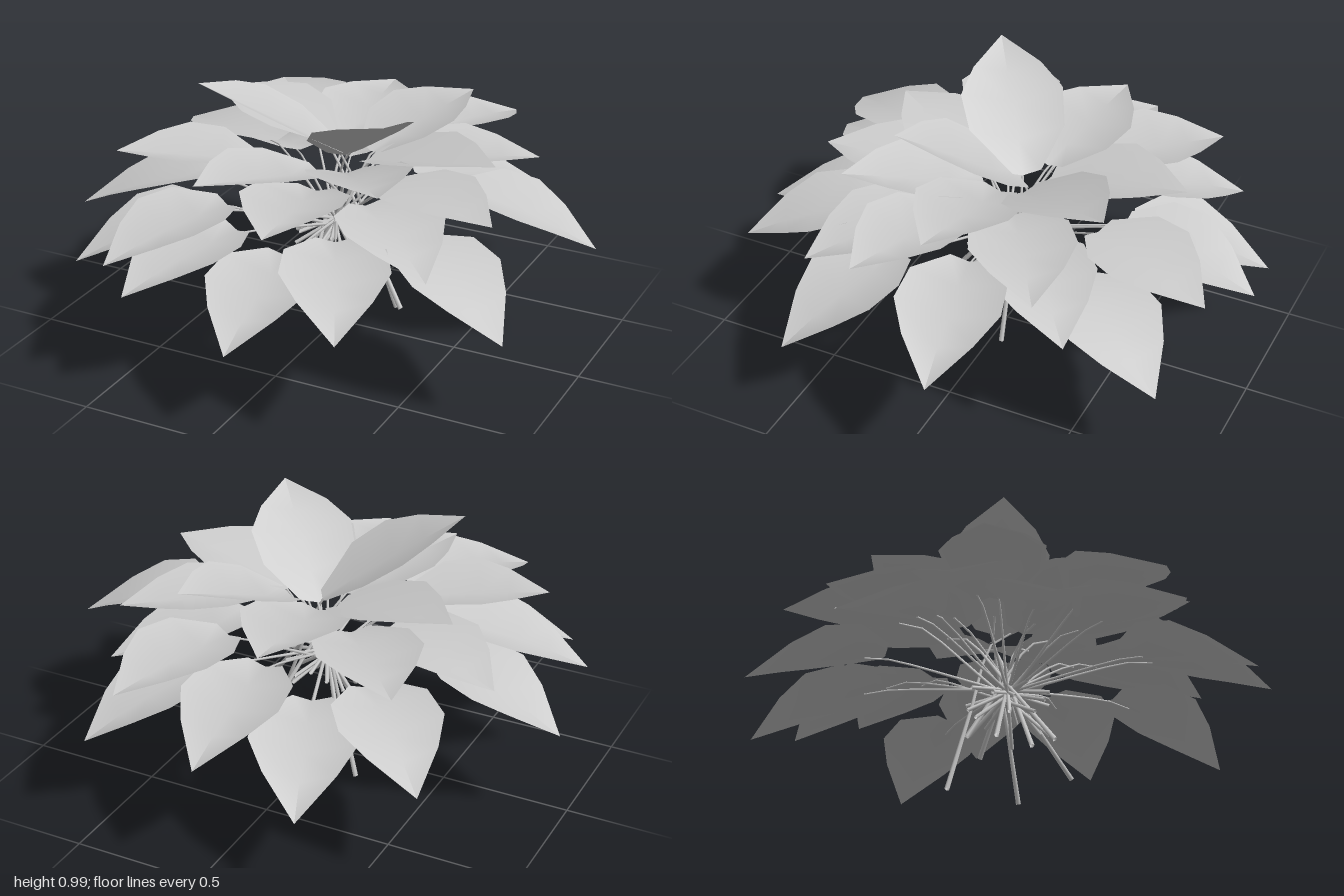
import * as THREE from 'three';

// Upper leaves as [tip x, tip y, tip z, base x, base y, base z]
const TOP = [
  [-0.45, 0.99, 0.24, -0.01, 0.69, -0.06],
  [0.33, 0.97, 0.29, 0.0, 0.67, -0.07],
  [0.33, 0.84, -0.53, 0.09, 0.69, -0.11],
  [0.65, 0.78, 0.02, 0.12, 0.69, -0.03],
  [0.4, 0.79, 0.48, 0.07, 0.66, 0.06],
  [-0.28, 0.74, 0.58, -0.03, 0.65, 0.08],
  [-0.61, 0.8, -0.23, -0.1, 0.7, -0.12],
  [-0.08, 0.76, -0.69, -0.05, 0.69, -0.16],
];
// Lower ends of the upper stems
const FEET = [
  [0.22, 0.07, -0.08], [-0.195, 0.003, -0.145], [-0.05, 0.17, 0.13], [-0.12, 0.21, 0.02],
  [-0.1, 0.24, -0.12], [0.13, 0.25, -0.2], [0.32, 0.17, 0.1], [-0.02, 0.19, 0.21],
];
// Outer leaves point away from the centre: [tip x, tip y, tip z, base height]
const OUTER = [
  [-0.35, 0.31, -0.94, 0.49], [0.01, 0.45, -1.0, 0.6], [0.36, 0.62, -0.93, 0.67],
  [0.56, 0.33, -0.84, 0.5], [0.64, 0.5, -0.52, 0.6], [0.66, 0.66, -0.41, 0.68],
  [0.985, 0.45, -0.16, 0.62], [0.74, 0.66, 0.26, 0.65], [0.88, 0.33, 0.48, 0.52],
  [0.61, 0.53, 0.53, 0.61], [0.44, 0.42, 0.89, 0.56], [0.07, 0.34, 0.99, 0.49],
  [0.08, 0.67, 0.73, 0.64], [-0.38, 0.43, 0.92, 0.53], [-0.47, 0.52, 0.89, 0.62],
  [-0.77, 0.36, 0.63, 0.53], [-0.94, 0.44, 0.31, 0.59], [-0.76, 0.7, 0.34, 0.67],
  [-0.99, 0.38, -0.11, 0.55], [-0.8, 0.61, -0.29, 0.66], [-0.7, 0.38, -0.71, 0.53],
  [-0.57, 0.7, -0.65, 0.69],
];

// Half width of the blade along its length
const PROFILE = [[0, 0.07], [0.24, 0.18], [0.5, 0.195], [0.72, 0.13], [1, 0]];
const FOLD = 0.28;

const material = new THREE.MeshStandardMaterial({ color: 0xcccccc, side: THREE.DoubleSide });

// Midrib: a shallow arch from base to tip, strongest on drooping leaves
function ribPoint(base, tip, t) {
  const arch = 0.005 + Math.max(0, base.y - tip.y) * 0.12;
  const p = base.clone().lerp(tip, t);
  p.y += arch * 4 * t * (1 - t);
  return p;
}

// Blade: rows of three points across, folded up either side of the midrib
function makeLeaf(base, tip) {
  const across = new THREE.Vector3(tip.z - base.z, 0, base.x - tip.x).normalize();
  const pos = [], index = [];
  PROFILE.forEach(([t, half], row) => {
    const rib = ribPoint(base, tip, t);
    for (const side of [-1, 0, 1]) {
      const p = rib.clone().addScaledVector(across, side * half);
      pos.push(p.x, p.y + FOLD * half * Math.abs(side), p.z);
    }
    if (row === 0) return;
    for (let c = 0; c < 2; c++) {
      const a = (row - 1) * 3 + c, b = a + 3;
      index.push(a, b + 1, a + 1, a, b, b + 1);
    }
  });
  const geo = new THREE.BufferGeometry();
  geo.setAttribute('position', new THREE.Float32BufferAttribute(pos, 3));
  geo.setIndex(index);
  geo.computeVertexNormals();
  const mesh = new THREE.Mesh(geo, material);
  mesh.name = 'leafBlade';
  return mesh;
}

// Stem: runs from under the blade, through the centre, to the opposite side
function makeStem(base, tip, foot, radius) {
  const mid = foot.clone().lerp(base, 0.5);
  const neck = base.clone();
  const end = ribPoint(base, tip, 0.15);
  neck.y -= 0.012;
  end.y -= 0.008;
  const curve = new THREE.CatmullRomCurve3([foot, mid, neck, end]);
  const segs = 8, sides = 5;
  const geo = new THREE.TubeGeometry(curve, segs, radius, sides, false);
  // Taper towards the blade
  const p = geo.attributes.position, v = new THREE.Vector3();
  for (let i = 0; i < p.count; i++) {
    const t = Math.floor(i / (sides + 1)) / segs;
    const c = curve.getPointAt(t);
    v.fromBufferAttribute(p, i).sub(c).multiplyScalar(1 - 0.6 * t).add(c);
    p.setXYZ(i, v.x, Math.max(v.y, 0), v.z);
  }
  const mesh = new THREE.Mesh(geo, material);
  mesh.name = 'stem';
  return mesh;
}

export function createModel() {
  const model = new THREE.Group();
  model.name = 'leafyPlant';
  const add = (name, base, tip, foot, radius) => {
    const g = new THREE.Group();
    g.name = name;
    g.add(makeLeaf(base, tip), makeStem(base, tip, foot, radius));
    model.add(g);
  };

  // Upper rosette with steep stems
  TOP.forEach(([x, y, z, bx, by, bz], i) => add('upperLeaf',
    new THREE.Vector3(bx, by, bz), new THREE.Vector3(x, y, z), new THREE.Vector3(...FEET[i]), 0.01));

  // Outer leaves, spreading and drooping
  for (const [x, y, z, by] of OUTER) {
    const r = Math.hypot(x, z);
    const k = (r - 0.52) / r, f = -0.16 / r;
    add('outerLeaf', new THREE.Vector3(x * k, by, z * k), new THREE.Vector3(x, y, z),
      new THREE.Vector3(x * f, 0.55 - 0.4 * y, z * f), 0.008);
  }
  return model;
}
